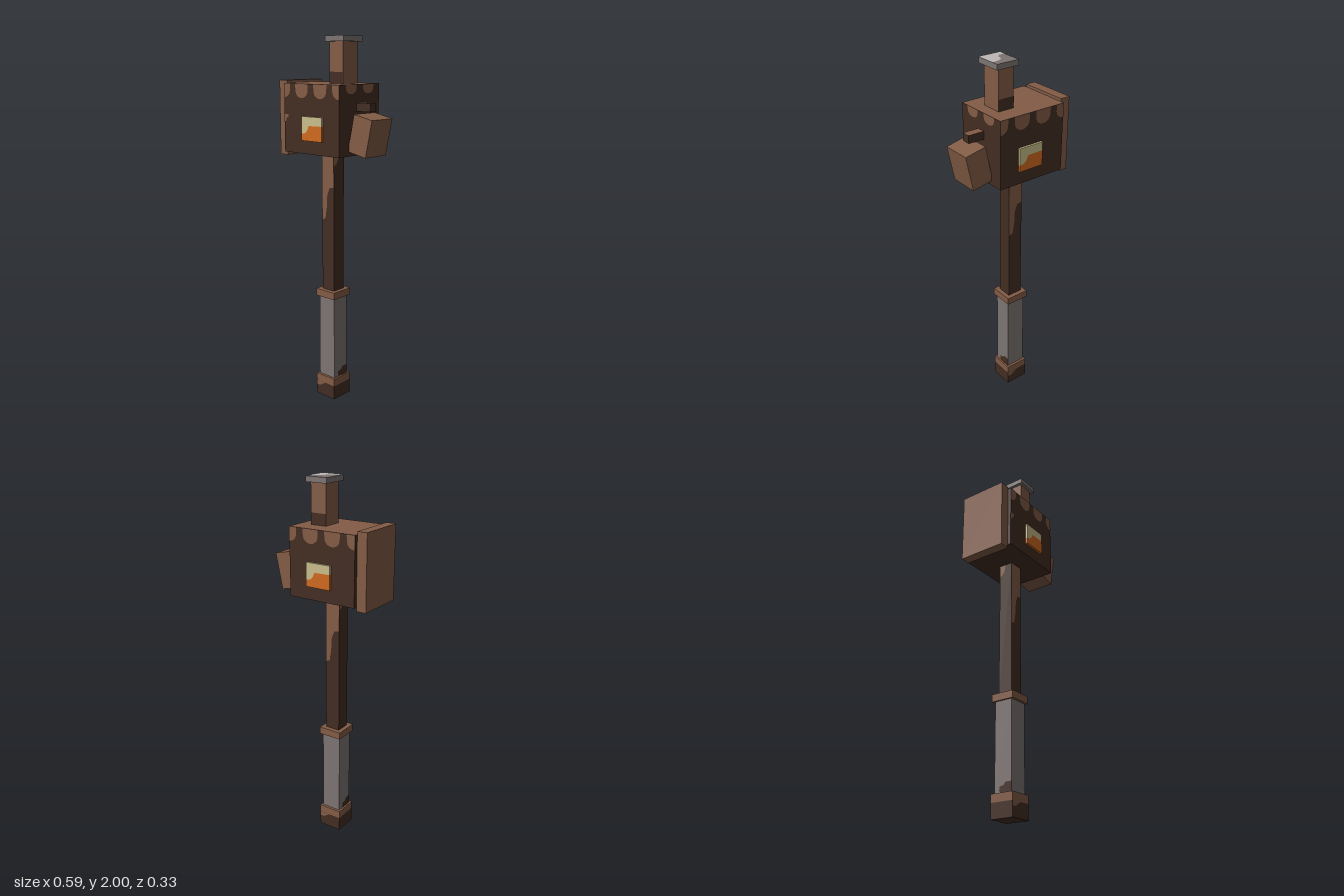
import * as THREE from 'three';

const material = (name, color) => {
  const m = new THREE.MeshStandardMaterial({ color });
  m.name = name;
  return m;
};

export function createModel() {
  const group = new THREE.Group();
  const brown = material('brown wood', 0x835c46);
  const dark = material('dark wood', 0x432d23);
  const grey = material('grey wrap', 0x7c7472);
  const pale = material('pale metal', 0xbeb8b5);
  const cream = material('cream glow', 0xcabe8a);
  const orange = material('orange glow', 0xd0691f);

  const add = (name, geometry, mat) => {
    const mesh = new THREE.Mesh(geometry, mat);
    mesh.name = name;
    group.add(mesh);
    return mesh;
  };

  // Block given by x and y ranges and half depth
  const block = (name, x0, x1, y0, y1, hz, mat) => {
    const mesh = add(name, new THREE.BoxGeometry(x1 - x0, y1 - y0, hz * 2), mat);
    mesh.position.set((x0 + x1) / 2, (y0 + y1) / 2, 0);
    return mesh;
  };

  const outline = (pts) => new THREE.Shape(pts.map(([x, y]) => new THREE.Vector2(x, y)));

  // Flat painted patch on a side face; turn 0 = front, 1 = left, 2 = back, 3 = right
  const patch = (name, mat, shape, cx, dist, turn) => add(name,
    new THREE.ShapeGeometry(shape)
      .translate(0, 0, dist + 0.0015)
      .rotateY(turn * Math.PI / 2)
      .translate(cx, 0, 0), mat);

  // Handle: pommel, grip, collar and shaft share one axis
  const hx = -0.039;
  block('pommelBase', hx - 0.066, hx + 0.066, 0, 0.08, 0.066, dark);
  block('pommelTop', hx - 0.066, hx + 0.066, 0.08, 0.123, 0.066, brown);
  block('grip', hx - 0.055, hx + 0.055, 0.123, 0.595, 0.052, grey);
  block('collar', hx - 0.066, hx + 0.066, 0.595, 0.635, 0.066, brown);
  block('shaft', hx - 0.042, hx + 0.042, 0.635, 1.4, 0.04, dark);

  // Worn patches on the handle, repeated on opposite sides
  const pommelWear = outline([[-0.066, 0.055], [-0.04, 0.055], [-0.02, 0.07], [0, 0.08], [-0.066, 0.08]]);
  const shaftWear = outline([[-0.042, 1.03], [-0.018, 1.04], [-0.008, 1.1], [-0.004, 1.17],
    [0.012, 1.21], [0.042, 1.215], [0.042, 1.4], [-0.042, 1.4]]);
  const shaftCorner = outline([[-0.04, 1.33], [-0.02, 1.34], [-0.005, 1.37], [0, 1.4], [-0.04, 1.4]]);
  const gripWear = outline([[-0.015, 0.123], [0.052, 0.123], [0.052, 0.175], [0.015, 0.175],
    [0.005, 0.16], [-0.02, 0.155], [-0.022, 0.135]]);
  for (const turn of [0, 2]) {
    patch('pommelWear', brown, pommelWear, hx, 0.066, turn);
    patch('shaftWear', brown, shaftWear, hx, 0.04, turn);
  }
  for (const turn of [1, 3]) {
    patch('shaftCornerWear', brown, shaftCorner, hx, 0.042, turn);
    patch('gripWear', dark, gripWear, hx, 0.055, turn);
  }

  // Hammer head with a brown roof and an end plate
  const capped = [dark, dark, brown, dark, dark, dark];
  block('head', -0.245, 0.145, 1.4, 1.76, 0.155, capped);
  block('endPlate', -0.3, -0.245, 1.38, 1.775, 0.135, brown);

  // Scalloped trim hanging from the top edge, clipped at the face ends
  const scallop = (c, w, depth, limit) => {
    const pts = [];
    for (let i = 0; i <= 12; i++) {
      const a = Math.PI + i / 12 * Math.PI;
      const x = THREE.MathUtils.clamp(c + w * Math.cos(a), -limit, limit);
      const s = Math.sqrt(Math.max(0, 1 - ((x - c) / w) ** 2));
      pts.push([x, 1.76 - depth * Math.sqrt(s)]);
    }
    pts.push([Math.min(c + w, limit), 1.76], [Math.max(c - w, -limit), 1.76]);
    return outline(pts);
  };
  const spot = outline([[-0.195, 1.56], [-0.18, 1.565], [-0.178, 1.58], [-0.165, 1.585], [-0.165, 1.6], [-0.195, 1.6]]);
  for (const turn of [0, 2]) {
    for (const c of [-0.195, -0.065, 0.065, 0.195]) {
      patch('scallop', brown, scallop(c, 0.046, 0.073, 0.195), -0.05, 0.155, turn);
    }
  }
  patch('headSpot', brown, spot, -0.05, 0.155, 0);
  for (const c of [-0.066, 0.066]) {
    patch('sideScallop', brown, scallop(c, 0.041, 0.047, 0.155), -0.05, 0.195, 1);
  }

  // Glowing windows, front and back
  const edge = [[-0.071, 1.505], [-0.045, 1.51], [-0.03, 1.525], [-0.02, 1.548], [0.071, 1.55]];
  const lower = outline([[-0.071, 1.47], [0.071, 1.47], ...[...edge].reverse()]);
  const upper = outline([...edge, [0.071, 1.595], [-0.071, 1.595]]);
  for (const turn of [0, 2]) {
    for (const [name, shape, mat] of [['windowFire', lower, orange], ['windowGlow', upper, cream]]) {
      add(name, new THREE.ExtrudeGeometry(shape, { depth: 0.013, bevelEnabled: false })
        .translate(0, 0, 0.154).rotateY(turn * Math.PI / 2).translate(-0.036, 0, 0), mat);
    }
  }

  // Chimney with a sooty base and a metal cap
  block('chimney', -0.01, 0.081, 1.76, 1.97, 0.056, brown);
  const soot = outline([[-0.0455, 1.76], [0.0455, 1.76], [0.0455, 1.82], [-0.0455, 1.82]]);
  for (const turn of [0, 2]) patch('chimneySoot', dark, soot, 0.0355, 0.056, turn);
  block('chimneyCap', -0.027, 0.1, 1.97, 1.9985, 0.073, grey);
  const shine = outline([[-0.027, -0.073], [0.1, -0.073], [0.1, 0.038], [0.065, 0.035], [0.04, 0.022],
    [0.03, 0.005], [0.025, -0.018], [0.008, -0.034], [-0.027, -0.036]]);
  add('capShine', new THREE.ShapeGeometry(shine).rotateX(-Math.PI / 2).translate(0, 2, 0), pale);

  // Peg holding a tilted block on the side
  block('peg', 0.145, 0.235, 1.625, 1.667, 0.023, capped);
  const hanging = block('hangingBlock', 0.157, 0.276, 1.411, 1.605, 0.081, brown);
  hanging.rotation.z = -0.207;

  return group;
}
